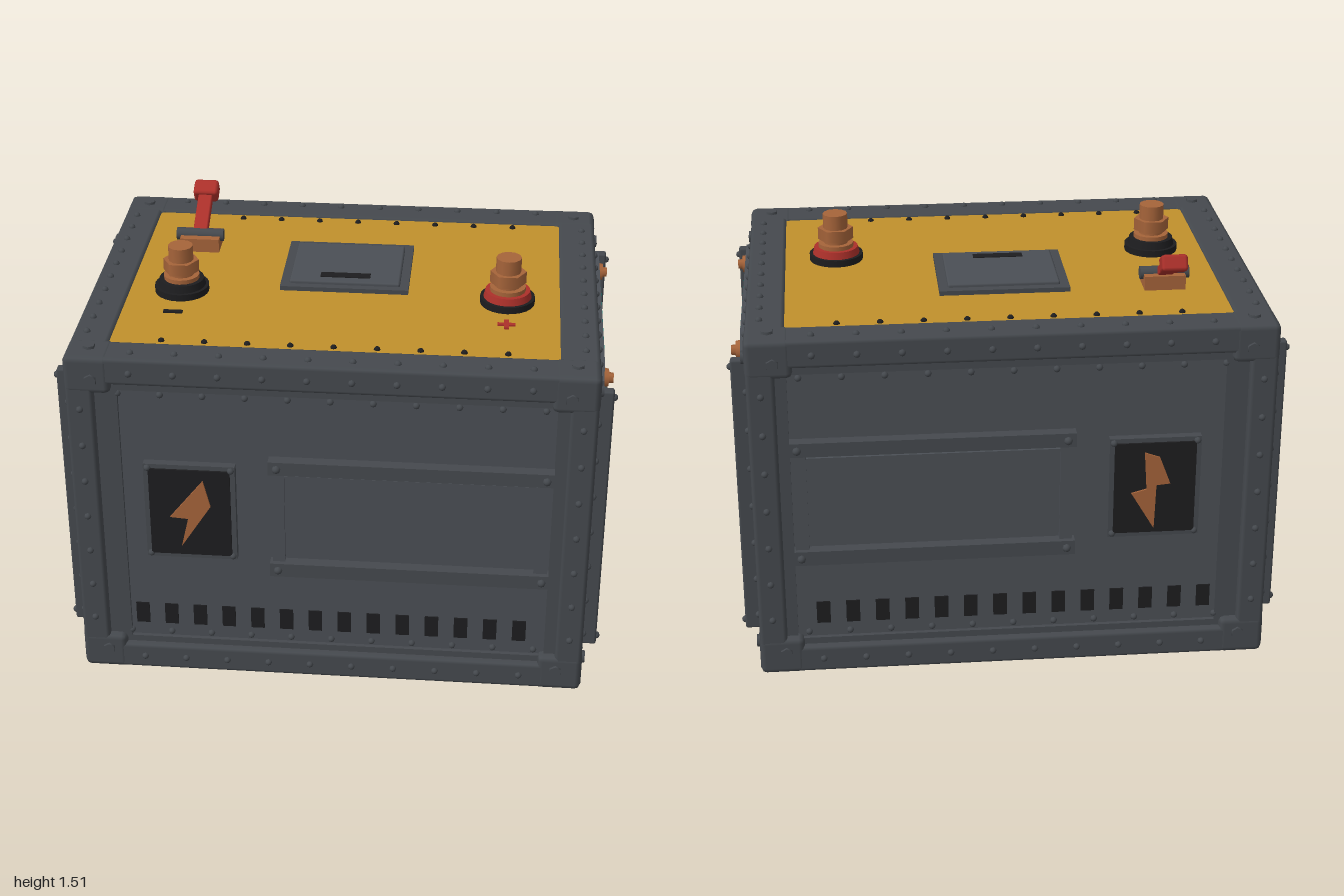
import * as THREE from 'three';
import { mergeGeometries } from 'three/addons/utils/BufferGeometryUtils.js';
import { RoundedBoxGeometry } from 'three/addons/geometries/RoundedBoxGeometry.js';

const material = (name, color) => Object.assign(new THREE.MeshStandardMaterial({ color }), { name });

export function createModel() {
  const frameGrey = material('frame grey', 0x45494e);
  const panelGrey = material('panel grey', 0x4b4f55);
  const yellow = material('yellow', 0xc0902c);
  const copper = material('copper', 0xa6643a);
  const red = material('red', 0xac302a);
  const teal = material('teal', 0x0d716a);
  const black = material('black', 0x1d1d1f);

  const model = new THREE.Group();
  const HX = 0.93, HZ = 0.7, Y0 = 0.015, Y1 = 1.335, CY = 0.675;

  // Geometry helpers
  const box = (w, h, d, x, y, z) => new THREE.BoxGeometry(w, h, d).translate(x, y, z);
  const beam = (w, h, d, x, y, z, r = 0.015) => new RoundedBoxGeometry(w, h, d, 1, r).translate(x, y, z);
  const span = (x0, x1, y0, y1, z0, z1) =>
    box(x1 - x0, y1 - y0, z1 - z0, (x0 + x1) / 2, (y0 + y1) / 2, (z0 + z1) / 2);
  const drum = (r, y0, y1, sides, x, z, r2 = r) =>
    new THREE.CylinderGeometry(r2, r, y1 - y0, sides).translate(x, (y0 + y1) / 2, z);
  const shapeOf = (pts) => new THREE.Shape(pts.map(([x, y]) => new THREE.Vector2(x, y)));
  const plate = (shape, depth, curveSegments = 40) =>
    new THREE.ExtrudeGeometry(shape, { depth, bevelEnabled: false, curveSegments });
  const toRight = (geo, x) => geo.rotateY(Math.PI / 2).translate(x, CY + 0.095, 0);
  const ring = (outer, inner) => {
    const s = new THREE.Shape().absarc(0, 0, outer, 0, Math.PI * 2);
    if (inner) s.holes.push(new THREE.Path().absarc(0, 0, inner, 0, Math.PI * 2, true));
    return s;
  };
  function add(name, mat, ...geos) {
    const flat = geos.map((g) => (g.index ? g.toNonIndexed() : g));
    const mesh = new THREE.Mesh(flat.length > 1 ? mergeGeometries(flat) : flat[0], mat);
    mesh.name = name;
    model.add(mesh);
    return mesh;
  }
  const row = (n, from, to) => Array.from({ length: n }, (_, i) => from + ((to - from) * i) / (n - 1));
  // Domed rivet or hex bolt standing on a face with the given outward normal
  const up = new THREE.Vector3(0, 1, 0);
  const stud = (geo, normal, x, y, z) => geo
    .applyQuaternion(new THREE.Quaternion().setFromUnitVectors(up, new THREE.Vector3(...normal)))
    .translate(x, y, z);
  const rivet = (n, x, y, z, r = 0.013) =>
    stud(new THREE.SphereGeometry(r, 8, 3, 0, Math.PI * 2, 0, Math.PI / 2), n, x, y, z);
  const hexBolt = (n, x, y, z, r = 0.025) => stud(new THREE.CylinderGeometry(r * 0.9, r, 0.02, 6), n, x, y, z);

  // Core body
  add('body', panelGrey, span(-0.89, 0.89, 0.05, 1.315, -0.66, 0.66));

  // Frame beams and corner caps
  const beams = [], caps = [], rivets = [], bolts = [];
  for (const s of [-1, 1]) {
    for (const t of [-1, 1]) {
      beams.push(beam(2 * HX - 0.1, 0.105, 0.14, 0, CY + s * 0.6075, t * (HZ - 0.07)));
      beams.push(beam(0.14, 0.09, 2 * HZ - 0.1, t * (HX - 0.07), CY + s * 0.615, 0));
      beams.push(beam(0.1, Y1 - Y0 - 0.1, 0.1, s * (HX - 0.05), CY, t * (HZ - 0.05)));
      for (const u of [-1, 1]) {
        caps.push(beam(0.165, 0.145, 0.15, s * (HX - 0.08), CY + t * 0.59, u * (HZ - 0.072), 0.022));
        bolts.push(hexBolt([0, 0, u], s * 0.835, CY + t * 0.575, u * 0.702));
        bolts.push(hexBolt([s, 0, 0], s * 0.935, CY + t * 0.57, u * 0.61));
        bolts.push(hexBolt([0, t, 0], s * 0.85, CY + t * 0.662, u * 0.62));
      }
    }
  }
  add('frameBeams', frameGrey, ...beams);
  add('cornerCaps', frameGrey, ...caps);

  // Rivets along every beam and panel edge
  for (const s of [-1, 1]) {
    for (const t of [-1, 1]) {
      for (const x of row(10, -0.7, 0.7)) {
        rivets.push(rivet([0, 0, t], x, CY + s * 0.605, t * HZ));
        rivets.push(rivet([0, s, 0], x, CY + s * 0.66, t * 0.65));
      }
      for (const x of row(11, -0.75, 0.75)) rivets.push(rivet([0, 0, t], x, CY + s * 0.508, t * 0.665));
      for (const z of row(10, -0.5, 0.5)) {
        rivets.push(rivet([s, 0, 0], s * HX, CY + t * 0.61, z));
        rivets.push(rivet([0, t, 0], s * 0.88, CY + t * 0.66, z));
      }
      for (const y of row(7, 0.24, 1.13)) {
        rivets.push(rivet([0, 0, t], s * 0.88, y, t * HZ));
        rivets.push(rivet([s, 0, 0], s * HX, y, t * 0.65));
      }
    }
  }
  add('frameRivets', frameGrey, ...rivets);
  add('cornerBolts', frameGrey, ...bolts);

  // Front and back panels, the back mirrored across z
  const frontBolt = [[-0.455, 0.856], [-0.43, 0.75], [-0.54, 0.577], [-0.513, 0.695], [-0.578, 0.7]];
  const backBolt = [[-0.465, 0.86], [-0.52, 0.84], [-0.56, 0.735], [-0.51, 0.73], [-0.505, 0.556],
    [-0.42, 0.7], [-0.475, 0.715]];
  for (const s of [1, -1]) {
    const side = s > 0 ? 'front' : 'back';
    const slab = (x0, x1, y0, y1, a, b) => span(x0, x1, y0, y1, s > 0 ? a : -b, s > 0 ? b : -a);
    add(side + 'PanelBorder', frameGrey,
      slab(-0.84, -0.75, 0.12, 1.23, 0.65, 0.675), slab(0.79, 0.84, 0.12, 1.23, 0.65, 0.675),
      slab(-0.75, 0.79, 0.115, 0.145, 0.65, 0.675), slab(-0.75, 0.79, 1.2, 1.235, 0.65, 0.675));
    add(side + 'Vents', black,
      ...row(14, -0.706, 0.695).map((x) => slab(x - 0.025, x + 0.025, 0.2, 0.288, 0.655, 0.664)));
    add(side + 'BracketBars', frameGrey,
      slab(-0.22, 0.79, 0.895, 0.948, 0.65, 0.703), slab(-0.22, 0.79, 0.463, 0.518, 0.65, 0.703),
      ...[-0.19, 0.765].flatMap((x) => [0.49, 0.92].map((y) => rivet([0, 0, s], x, y, s * 0.702, 0.016))));
    add(side + 'BracketInset', panelGrey,
      slab(-0.21, -0.165, 0.518, 0.895, 0.65, 0.685), slab(0.735, 0.785, 0.518, 0.895, 0.65, 0.685),
      slab(-0.165, 0.735, 0.54, 0.875, 0.65, 0.672));
    add(side + 'SignPlate', frameGrey, slab(-0.67, -0.34, 0.52, 0.912, 0.65, 0.69),
      ...[-0.655, -0.355].flatMap((x) => [0.535, 0.897].map((y) => rivet([0, 0, s], x, y, s * 0.69))));
    add(side + 'SignFace', black, slab(-0.652, -0.358, 0.538, 0.895, 0.69, 0.697));
    add(side + 'LightningSign', copper,
      plate(shapeOf(s > 0 ? frontBolt : backBolt), 0.007).translate(0, 0, s > 0 ? 0.697 : -0.704));
  }

  // Upright bars on both ends
  for (const s of [-1, 1]) for (const t of [-1, 1]) {
    add('endUprightBar', frameGrey, beam(0.1, 1.08, 0.04, s * 0.935, 0.68, t * 0.56, 0.008),
      ...[0.17, 1.19].map((y) => rivet([s, 0, 0], s * 0.984, y, t * 0.56, 0.014)));
  }

  // Cooling louvres on the right end
  const fin = shapeOf([[-0.88, -0.05], [-0.92, -0.05], [-0.965, -0.03], [-0.965, -0.012], [-0.89, 0.05], [-0.88, 0.05]].reverse());
  add('louvres', panelGrey, ...row(10, 0.2, 1.15).map((y) => plate(fin, 1.08).translate(0, y, -0.54)));

  // Control panel on the left end
  const c = 0.05, h = 0.5;
  add('sidePanel', panelGrey, toRight(plate(shapeOf([[-h + c, -h], [h - c, -h], [h, -h + c], [h, h - c],
    [h - c, h], [-h + c, h], [-h, h - c], [-h, -h + c]]), 0.07), 0.88));
  const quarter = [[0.445, 0.255], [0.37, 0.31], [0.37, 0.37], [0.32, 0.37], [0.26, 0.445]];
  const mirrorX = quarter.map(([x, y]) => [-x, y]).reverse();
  const outline = [...quarter, ...mirrorX];
  const loop = [...outline, ...outline.map(([x, y]) => [-x, -y])];
  const trim = shapeOf(loop);
  trim.holes.push(new THREE.Path(loop.map(([x, y]) => new THREE.Vector2(x * 0.935, y * 0.935))));
  add('tealOutline', teal, toRight(plate(trim, 0.007), 0.95));
  add('dialBase', panelGrey, toRight(plate(ring(0.235, 0.12), 0.03), 0.945));
  add('dialBand', teal, toRight(plate(ring(0.183, 0.148), 0.008), 0.975));
  add('dialRim', frameGrey, toRight(plate(ring(0.148, 0.118), 0.018), 0.975));
  add('dialCentre', panelGrey, toRight(plate(ring(0.118), 0.02), 0.945));

  // Arrows: length points along +y before turning
  const arrow = (k, turn, r) => plate(shapeOf([[-0.016, -0.05], [0.016, -0.05], [0.016, 0.005], [0.04, 0.005],
    [0, 0.05], [-0.04, 0.005], [-0.016, 0.005]].map(([x, y]) => [x * k, y * k])), 0.007)
    .translate(0, r, 0).rotateZ(turn);
  const inward = (k, turn, r) => arrow(k, Math.PI, 0).translate(0, r, 0).rotateZ(turn);
  add('outwardArrows', teal, ...[0, Math.PI].flatMap((a) =>
    [toRight(arrow(1.05, a, 0.345), 0.95), toRight(arrow(0.5, a, 0.21), 0.974)]));
  add('inwardArrows', copper, ...[Math.PI / 2, -Math.PI / 2].flatMap((a) =>
    [toRight(inward(1.05, a, 0.343), 0.95), toRight(inward(0.5, a, 0.212), 0.974)]));
  add('sidePanelBolts', copper, ...[-0.43, 0.43].flatMap((z) => [0.335, 1.197].flatMap((y) => [
    stud(new THREE.CylinderGeometry(0.032, 0.036, 0.02, 10), [1, 0, 0], 0.958, y, z),
    stud(new THREE.CylinderGeometry(0.018, 0.02, 0.02, 6), [1, 0, 0], 0.975, y, z)])));

  // Lid with rivets and hatch
  add('lid', yellow, span(-0.8, 0.8, 1.3, 1.325, -0.57, 0.57));
  add('lidRivets', black, ...[-0.53, 0.53].flatMap((z) =>
    row(9, -0.61, 0.61).map((x) => rivet([0, 1, 0], x, 1.325, z, 0.012))));
  add('hatch', frameGrey, span(-0.24, 0.235, 1.31, 1.342, -0.3, 0.095));
  add('hatchCover', panelGrey, beam(0.41, 0.03, 0.335, -0.002, 1.34, -0.1, 0.008));
  add('hatchSlot', black, span(-0.095, 0.09, 1.352, 1.358, -0.005, 0.032));

  // Terminals and polarity marks
  for (const [name, x, collar] of [['negative', -0.6, black], ['positive', 0.6, red]]) {
    add(name + 'TerminalBase', black, drum(0.1, 1.32, 1.35, 24, x, 0.12));
    add(name + 'TerminalCollar', collar, drum(0.088, 1.35, 1.376, 24, x, 0.12, 0.082));
    add(name + 'TerminalPost', copper, drum(0.046, 1.37, 1.505, 12, x, 0.12),
      drum(0.066, 1.376, 1.392, 16, x, 0.12), drum(0.066, 1.405, 1.45, 6, x, 0.12).translate(-x, 0, -0.12)
        .rotateY(Math.PI / 6).translate(x, 0, 0.12));
  }
  add('minusMark', black, span(-0.64, -0.57, 1.325, 1.331, 0.297, 0.315));
  add('plusMark', red, span(0.568, 0.632, 1.325, 1.331, 0.297, 0.315), span(0.591, 0.609, 1.325, 1.3315, 0.274, 0.338));

  // Switch lever
  add('leverBase', copper, span(-0.66, -0.51, 1.32, 1.378, -0.315, -0.207));
  add('leverAxle', frameGrey, new THREE.CylinderGeometry(0.024, 0.024, 0.18, 12)
    .rotateZ(Math.PI / 2).translate(-0.588, 1.375, -0.262));
  const lever = add('leverArm', red, beam(0.055, 0.035, 0.2, 0, 0, -0.1, 0.006),
    beam(0.095, 0.06, 0.07, 0, 0, -0.21, 0.012));
  lever.position.set(-0.588, 1.378, -0.262);
  lever.rotation.x = 0.49;

  return model;
}
